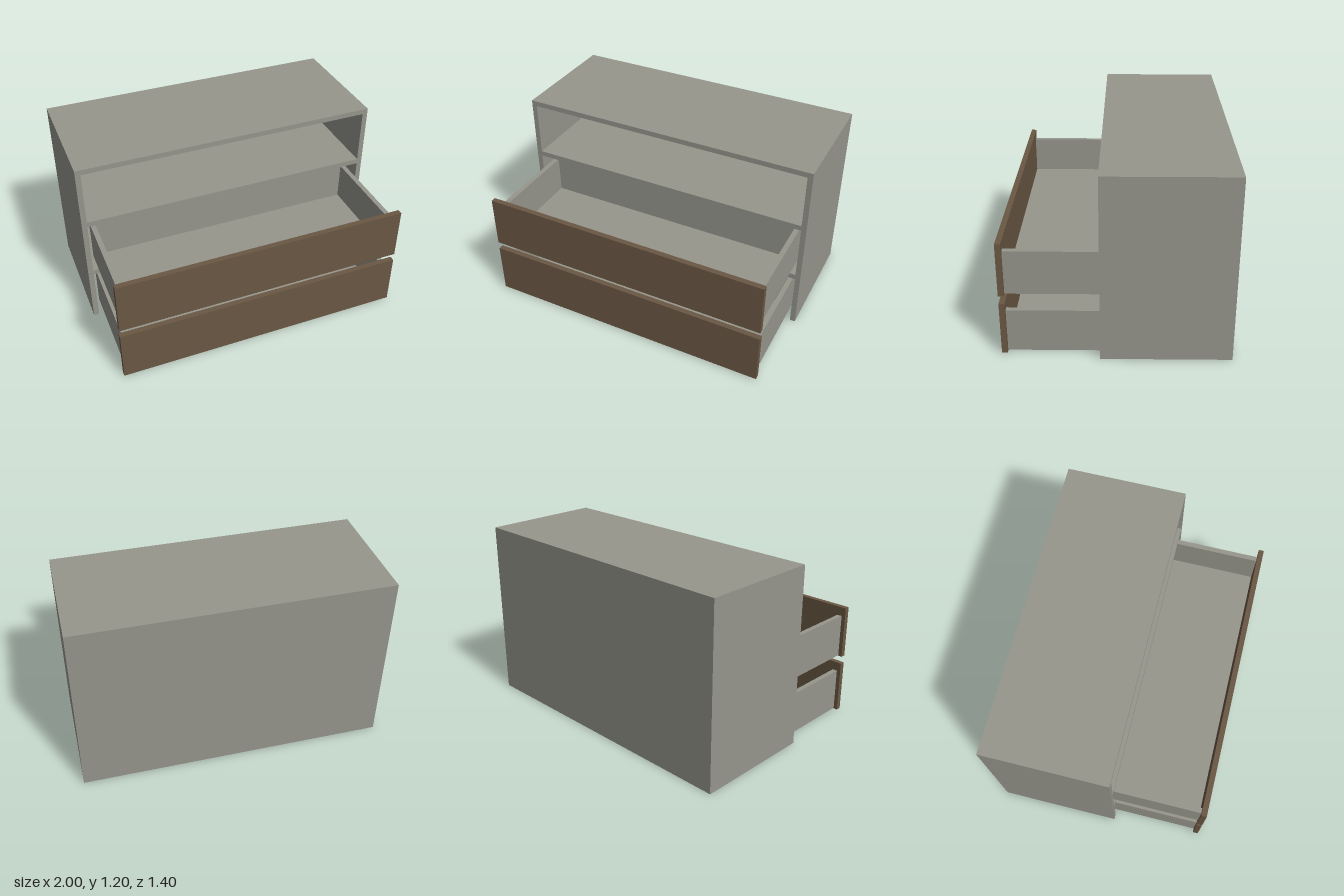
import * as THREE from 'three';

const T = 0.035; // board thickness

export function createModel() {
  const grey = new THREE.MeshStandardMaterial({ color: 0x96968d });
  grey.name = 'grey board';
  const brown = new THREE.MeshStandardMaterial({ color: 0x6b5844 });
  brown.name = 'brown wood';

  const model = new THREE.Group();
  model.name = 'drawerCabinet';

  // Box given by its minimum and maximum corners
  function board(parent, name, material, [x0, y0, z0], [x1, y1, z1]) {
    const mesh = new THREE.Mesh(new THREE.BoxGeometry(x1 - x0, y1 - y0, z1 - z0), material);
    mesh.position.set((x0 + x1) / 2, (y0 + y1) / 2, (z0 + z1) / 2);
    mesh.name = name;
    parent.add(mesh);
  }

  // Carcass: sides, top and two shelves, with the underside left open
  const xi = 1 - T;
  const frame = new THREE.Shape([
    [-1, 0], [-xi, 0], [-xi, 0.367], [xi, 0.367], [xi, 0], [1, 0], [1, 1.2], [-1, 1.2],
  ].map(([x, y]) => new THREE.Vector2(x, y)));
  for (const [y0, y1] of [[0.402, 0.767], [0.802, 1.2 - T]]) {
    frame.holes.push(new THREE.Path([
      [-xi, y0], [-xi, y1], [xi, y1], [xi, y0],
    ].map(([x, y]) => new THREE.Vector2(x, y))));
  }
  const carcass = new THREE.Mesh(
    new THREE.ExtrudeGeometry(frame, { depth: 0.8 - T, bevelEnabled: false }), grey);
  carcass.position.z = -0.7 + T;
  carcass.name = 'carcass';
  model.add(carcass);
  board(model, 'backPanel', grey, [-1, 0, -0.7], [1, 1.2, -0.7 + T]);

  // Two open drawers, pulled out
  const w = 0.93, wall = 0.033, back = -0.03, front = 0.665, height = 0.285;
  ['lowerDrawer', 'upperDrawer'].forEach((name, i) => {
    const drawer = new THREE.Group();
    drawer.name = name;
    drawer.position.y = 0.012 + i * 0.401;
    board(drawer, 'drawerBottom', grey, [-w + wall, 0, back + wall], [w - wall, wall, front]);
    board(drawer, 'drawerBack', grey, [-w + wall, 0, back], [w - wall, height, back + wall]);
    board(drawer, 'drawerRightSide', grey, [-w, 0, back], [-w + wall, height, front]);
    board(drawer, 'drawerLeftSide', grey, [w - wall, 0, back], [w, height, front]);
    board(drawer, 'drawerFront', brown, [-0.956, -0.004, front], [0.956, 0.345, 0.7]);
    model.add(drawer);
  });

  return model;
}
